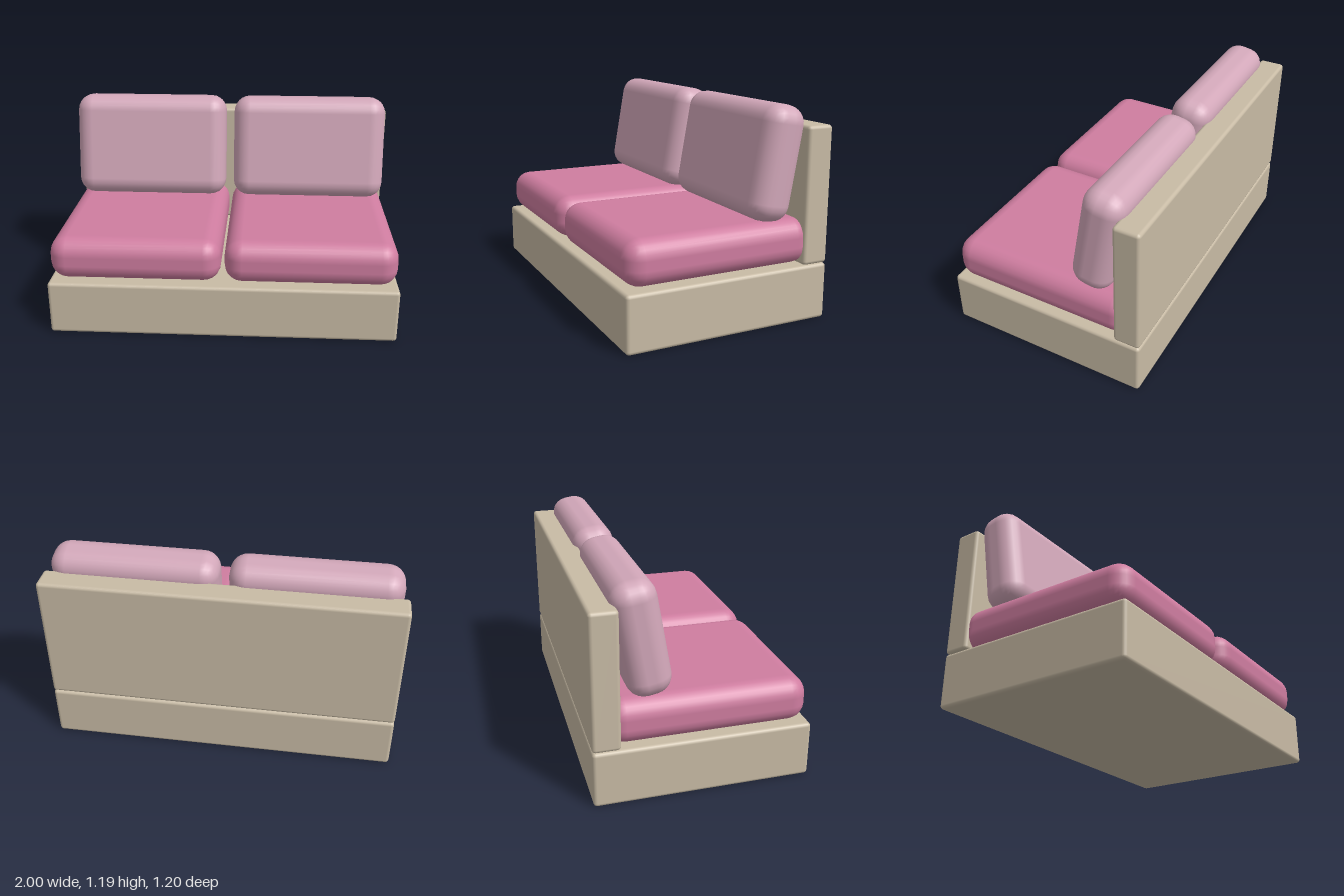
import * as THREE from 'three';
import { RoundedBoxGeometry } from 'three/addons/geometries/RoundedBoxGeometry.js';

const mat = (name, color) => {
  const m = new THREE.MeshStandardMaterial({ color });
  m.name = name;
  return m;
};

export function createModel() {
  const sofa = new THREE.Group();
  sofa.name = 'sofa';

  const beige = mat('beige', 0xc8bba5);
  const rose = mat('rose', 0xcf7da0);
  const palePink = mat('pale pink', 0xd2a7b9);

  // Soft-edged block given by its size, centre and edge radius
  const block = (name, material, [w, h, d], [x, y, z], radius, segments) => {
    const mesh = new THREE.Mesh(new RoundedBoxGeometry(w, h, d, segments, radius), material);
    mesh.name = name;
    mesh.position.set(x, y, z);
    sofa.add(mesh);
    return mesh;
  };

  // Frame: plinth and upright back panel
  block('base', beige, [2, 0.316, 1.2], [0, 0.158, 0], 0.02, 2);
  block('backPanel', beige, [2, 0.76, 0.153], [0, 0.698, -0.5235], 0.02, 2);

  // A seat cushion and a leaning back cushion on each side
  for (const [side, s] of [['left', 1], ['right', -1]]) {
    block(side + 'SeatCushion', rose, [0.98, 0.252, 1.1], [s * 0.5, 0.445, 0.035], 0.1, 3);
    const back = block(side + 'BackCushion', palePink, [0.95, 0.634, 0.245], [s * 0.5, 0.873, -0.316], 0.1, 3);
    back.rotation.x = THREE.MathUtils.degToRad(-10);
  }

  return sofa;
}
